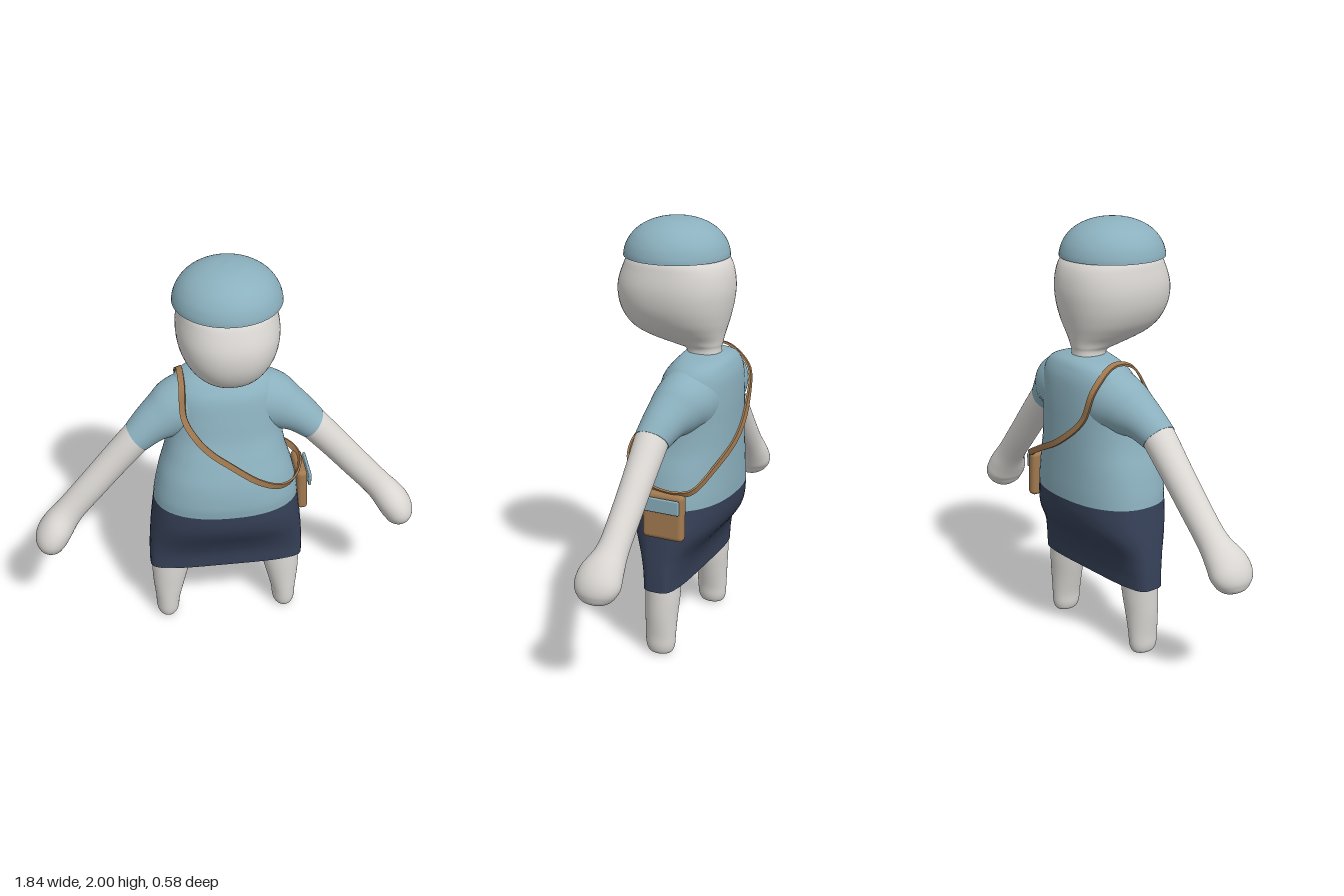
import * as THREE from 'three';
import { RoundedBoxGeometry } from 'three/addons/geometries/RoundedBoxGeometry.js';

const paint = (name, color, side = THREE.FrontSide) => {
  const m = new THREE.MeshStandardMaterial({ color, side });
  m.name = name;
  return m;
};

// Skins a list of rings (arrays of Vector3), with optional flat end caps.
function skin(rings, caps = true, loop = false) {
  const n = rings[0].length, pos = [], idx = [];
  rings.forEach(r => r.forEach(p => pos.push(p.x, p.y, p.z)));
  const count = loop ? rings.length : rings.length - 1;
  for (let i = 0; i < count; i++) {
    const k = (i + 1) % rings.length;
    for (let j = 0; j < n; j++) {
      const a = i * n + j, b = i * n + (j + 1) % n, c = k * n + j, d = k * n + (j + 1) % n;
      idx.push(a, b, c, b, d, c);
    }
  }
  if (caps) {
    [rings[0], rings[rings.length - 1]].forEach((r, end) => {
      const s = pos.length / 3;
      const mid = r.reduce((v, p) => v.add(p), new THREE.Vector3()).divideScalar(n);
      [mid, ...r].forEach(p => pos.push(p.x, p.y, p.z));
      for (let j = 0; j < n; j++) {
        const a = s + 1 + j, b = s + 1 + (j + 1) % n;
        if (end) idx.push(s, a, b); else idx.push(s, b, a);
      }
    });
  }
  const g = new THREE.BufferGeometry();
  g.setAttribute('position', new THREE.Float32BufferAttribute(pos, 3));
  g.setIndex(idx);
  g.computeVertexNormals();
  return g;
}

// Smooth limb through rows [x, y, z, radius in xy, radius in z, power]; power < 1 squares the section.
function limb(rows, caps = true, sides = 48, steps = 5) {
  const spline = f => new THREE.CatmullRomCurve3(rows.map(f), false, 'catmullrom', 0.5);
  const path = spline(r => new THREE.Vector3(r[0], r[1], r[2]));
  const size = spline(r => new THREE.Vector3(r[3], r[4], r[5] ?? 1));
  const total = (rows.length - 1) * steps, rings = [];
  for (let i = 0; i <= total; i++) {
    const t = i / total, c = path.getPoint(t), s = size.getPoint(t);
    const bend = v => Math.sign(v) * Math.pow(Math.abs(v), s.z);
    const dir = path.getPoint(Math.min(1, t + 0.01)).sub(path.getPoint(Math.max(0, t - 0.01)));
    dir.z = 0;
    dir.normalize();
    const ring = [];
    for (let j = 0; j < sides; j++) {
      const a = j / sides * Math.PI * 2, u = bend(Math.cos(a)) * s.x, v = bend(Math.sin(a)) * s.y;
      ring.push(new THREE.Vector3(c.x + dir.y * u, c.y - dir.x * u, c.z - v));
    }
    rings.push(ring);
  }
  return skin(rings, caps);
}

// Upright row from height, half width, front z, back z and section power.
const level = (y, half, front, back, power = 0.88) =>
  [0, y, (front + back) / 2, half, (front - back) / 2, power];

export function createModel() {
  const model = new THREE.Group();
  const skinTone = paint('pale grey', 0xdbd8d4);
  const blue = paint('soft blue', 0x8bb0be);
  const navy = paint('navy', 0x364158, THREE.DoubleSide);
  const brown = paint('tan leather', 0xa27a50);
  const add = (name, geometry, material) => {
    const mesh = new THREE.Mesh(geometry, material);
    mesh.name = name;
    model.add(mesh);
    return mesh;
  };

  // Head and neck
  add('head', limb([
    level(1.35, 0.075, -0.03, -0.2), level(1.415, 0.07, -0.035, -0.195),
    level(1.44, 0.087, 0.04, -0.2), level(1.465, 0.11, 0.14, -0.205),
    level(1.5, 0.147, 0.213, -0.213), level(1.55, 0.186, 0.257, -0.226),
    level(1.62, 0.216, 0.284, -0.24), level(1.7, 0.227, 0.287, -0.247),
    level(1.78, 0.217, 0.262, -0.236), level(1.835, 0.198, 0.23, -0.204),
    level(1.9, 0.13, 0.15, -0.12),
  ]), skinTone);

  // Domed cap
  const dome = new THREE.SplineCurve([[0.24, 1.83], [0.237, 1.855], [0.222, 1.895], [0.19, 1.937],
    [0.14, 1.971], [0.075, 1.993], [0, 2]].map(p => new THREE.Vector2(...p)));
  const cap = add('cap', new THREE.LatheGeometry(dome.getPoints(24), 48), blue);
  cap.position.z = 0.02;
  const brim = add('capUnderside', new THREE.CircleGeometry(0.24, 48), blue);
  brim.rotation.x = Math.PI / 2;
  brim.position.set(0, 1.83, 0.02);

  // Shirt body
  add('shirt', limb([
    level(0.74, 0.345, 0.18, -0.28), level(0.8, 0.337, 0.183, -0.281),
    level(0.9, 0.315, 0.168, -0.28), level(1.0, 0.284, 0.133, -0.28),
    level(1.1, 0.267, 0.093, -0.28), level(1.2, 0.262, 0.07, -0.28),
    level(1.3, 0.25, 0.045, -0.274), level(1.355, 0.22, 0.008, -0.258),
    level(1.385, 0.165, -0.02, -0.238), level(1.402, 0.08, -0.035, -0.205),
  ]), blue);

  // Skirt shell, squarer at the hem, and the hips closing it
  add('skirt', limb([
    level(0.34, 0.375, 0.05, -0.13, 0.5), level(0.42, 0.374, 0.058, -0.14, 0.54),
    level(0.5, 0.37, 0.09, -0.172, 0.66), level(0.6, 0.361, 0.148, -0.245, 0.8),
    level(0.67, 0.353, 0.173, -0.272, 0.86), level(0.74, 0.345, 0.18, -0.28),
  ], false), navy);
  add('hips', limb([
    level(0.355, 0.362, 0.04, -0.12, 0.5), level(0.4, 0.362, 0.043, -0.124, 0.54), level(0.44, 0.35, 0.046, -0.128, 0.6),
  ]), skinTone);

  for (const [side, s] of [['left', 1], ['right', -1]]) {
    const mirror = rows => rows.map(([x, ...rest]) => [x * s, ...rest]);
    // Sleeve flowing out of the shoulder
    add(side + 'Sleeve', limb(mirror([
      [0.05, 1.215, -0.118, 0.165, 0.14], [0.14, 1.217, -0.115, 0.159, 0.142],
      [0.22, 1.204, -0.108, 0.14, 0.133], [0.28, 1.178, -0.093, 0.117, 0.116],
      [0.34, 1.145, -0.073, 0.094, 0.097], [0.41, 1.09, -0.052, 0.077, 0.08],
    ])), blue);
    // Forearm with a rounded mitten hand
    add(side + 'Arm', limb(mirror([
      [0.38, 1.12, -0.055, 0.073, 0.075], [0.41, 1.09, -0.052, 0.074, 0.077],
      [0.52, 0.965, -0.048, 0.071, 0.071],
      [0.627, 0.84, -0.042, 0.069, 0.068], [0.74, 0.71, -0.033, 0.068, 0.07],
      [0.805, 0.632, -0.013, 0.077, 0.098], [0.84, 0.575, -0.008, 0.077, 0.105],
      [0.852, 0.53, -0.005, 0.064, 0.085], [0.857, 0.503, -0.005, 0.04, 0.05],
      [0.859, 0.494, -0.005, 0.006, 0.006],
    ])), skinTone);
    // Tapered leg
    add(side + 'Leg', limb(mirror([
      [0.295, 0, -0.035, 0.02, 0.03], [0.295, 0.008, -0.035, 0.043, 0.056], [0.295, 0.04, -0.035, 0.055, 0.069],
      [0.293, 0.1, -0.035, 0.06, 0.073], [0.286, 0.2, -0.037, 0.077, 0.076],
      [0.278, 0.28, -0.039, 0.089, 0.079], [0.27, 0.365, -0.04, 0.1, 0.079],
    ])), skinTone);
  }

  // Flat shoulder strap looping around the body
  const loop = new THREE.CatmullRomCurve3([
    [-0.2, 1.387, -0.14], [-0.2, 1.365, -0.03], [-0.2, 1.24, 0.055], [-0.15, 1.16, 0.115],
    [-0.09, 1.095, 0.138], [0, 1.03, 0.162], [0.12, 0.955, 0.192], [0.22, 0.896, 0.162], [0.3, 0.857, 0.075],
    [0.355, 0.842, -0.05], [0.365, 0.84, -0.15], [0.34, 0.85, -0.21], [0.2, 0.92, -0.258],
    [0, 1.02, -0.286], [-0.15, 1.15, -0.272], [-0.2, 1.29, -0.252],
  ].map(p => new THREE.Vector3(...p)), true);
  const strapRings = [];
  for (let i = 0; i < 120; i++) {
    const p = loop.getPoint(i / 120), t = loop.getTangent(i / 120);
    const out = new THREE.Vector3(p.x * 0.4, (p.y - 0.97) * 0.7, p.z + 0.08);
    out.addScaledVector(t, -out.dot(t)).normalize();
    const wide = new THREE.Vector3().crossVectors(t, out);
    strapRings.push([[1, 1], [-1, 1], [-1, -1], [1, -1]].map(([a, b]) =>
      p.clone().addScaledVector(out, a * 0.005).addScaledVector(wide, b * 0.014)));
  }
  const strap = skin(strapRings, false, true).toNonIndexed();
  strap.computeVertexNormals();
  add('strap', strap, brown);

  // Hip bag with a coloured flap
  const bag = add('bag', new RoundedBoxGeometry(0.052, 0.222, 0.2, 4, 0.022), brown);
  bag.position.set(0.366, 0.729, -0.09);
  bag.rotation.z = 0.04;
  const flap = add('bagFlap', new RoundedBoxGeometry(0.014, 0.068, 0.182, 3, 0.006), blue);
  flap.position.set(0.402, 0.788, -0.088);
  return model;
}
